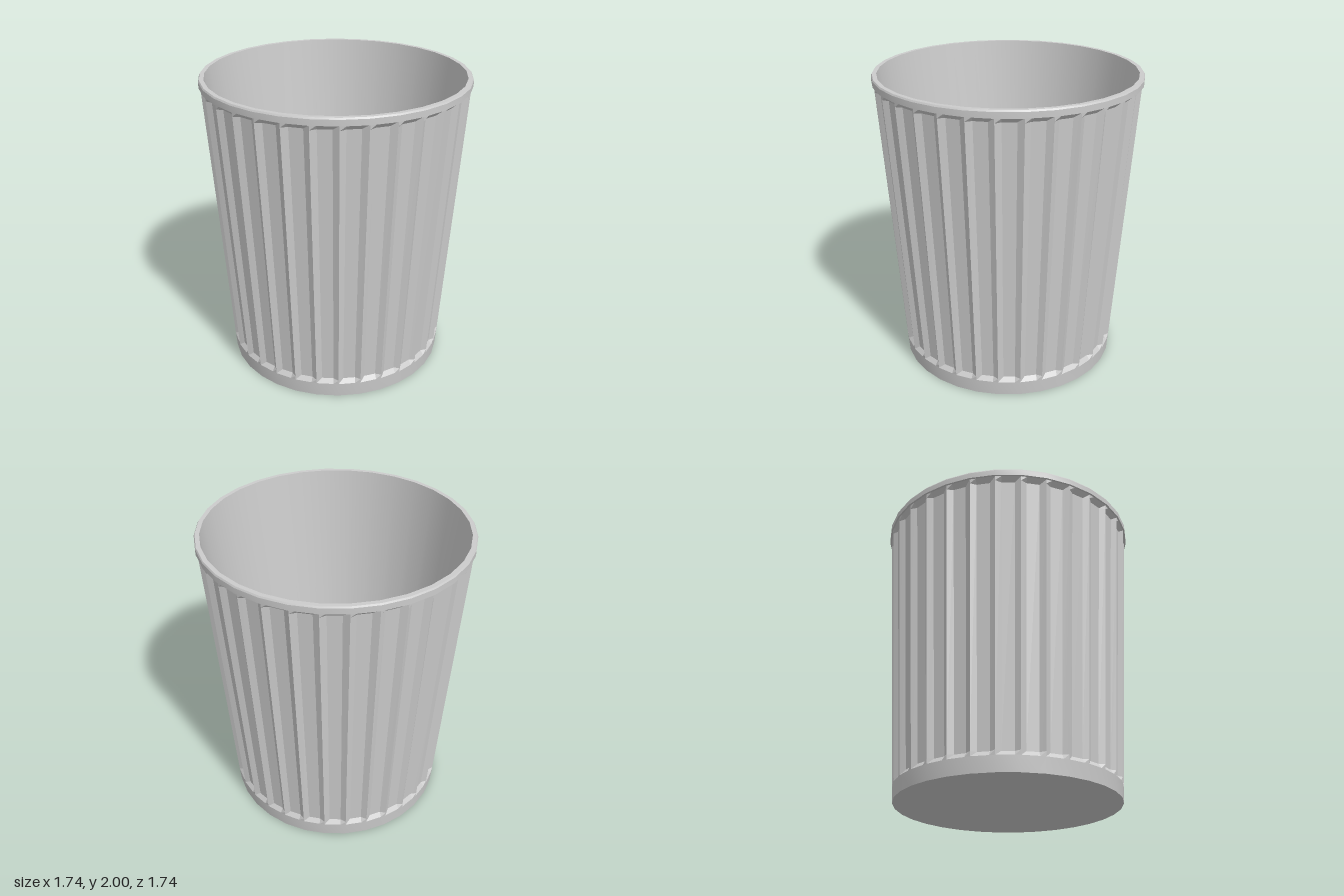
import * as THREE from 'three';
import { toCreasedNormals } from 'three/addons/utils/BufferGeometryUtils.js';

const SIDES = 32;
const CREASE = 0.38;
const material = new THREE.MeshStandardMaterial({ color: 0xcccccc });

function part(name, geometry) {
  const mesh = new THREE.Mesh(toCreasedNormals(geometry, CREASE), material);
  mesh.name = name;
  return mesh;
}

function turned(name, profile) {
  return part(name, new THREE.LatheGeometry(profile.map(([r, y]) => new THREE.Vector2(r, y)), SIDES));
}

// Tapered wall with one shallow flute between each pair of ridges
function flutedWall() {
  // [height, ridge radius, flute depth]
  const rows = [[0.1, 0.745, 0], [0.13, 0.747, 0.024], [1.92, 0.859, 0.024], [1.95, 0.861, 0]];
  // [position across the flute, share of the depth]
  const across = [[0, 0], [0.24, 1], [0.76, 1]];
  const step = (Math.PI * 2) / SIDES;
  const n = SIDES * across.length;
  const positions = [];
  const indices = [];
  for (const [y, radius, depth] of rows) {
    for (let s = 0; s < SIDES; s++) {
      const a = s * step, b = a + step, mid = a + step / 2;
      for (const [t, share] of across) {
        const d = depth * share;
        positions.push(
          radius * THREE.MathUtils.lerp(Math.sin(a), Math.sin(b), t) - d * Math.sin(mid),
          y,
          radius * THREE.MathUtils.lerp(Math.cos(a), Math.cos(b), t) - d * Math.cos(mid)
        );
      }
    }
  }
  for (let r = 0; r < rows.length - 1; r++) {
    for (let i = 0; i < n; i++) {
      const j = (i + 1) % n;
      const a = r * n + i, b = r * n + j, c = a + n, d = b + n;
      indices.push(a, b, d, a, d, c);
    }
  }
  const geometry = new THREE.BufferGeometry();
  geometry.setAttribute('position', new THREE.Float32BufferAttribute(positions, 3));
  geometry.setIndex(indices);
  return part('flutedWall', geometry);
}

export function createModel() {
  const bin = new THREE.Group();
  bin.name = 'wasteBin';
  bin.add(
    // Slightly dished underside and plain foot band
    turned('base', [[0, 0.015], [0.72, 0], [0.738, 0], [0.745, 0.1]]),
    flutedWall(),
    // Flat-topped lip around the opening
    turned('rim', [[0.86, 1.95], [0.872, 1.952], [0.872, 1.99], [0.866, 2], [0.838, 2]]),
    // Smooth inside wall and floor
    turned('innerWall', [[0.838, 2], [0.617, 0.05]]),
    turned('floor', [[0.617, 0.05], [0, 0.05]])
  );
  return bin;
}
